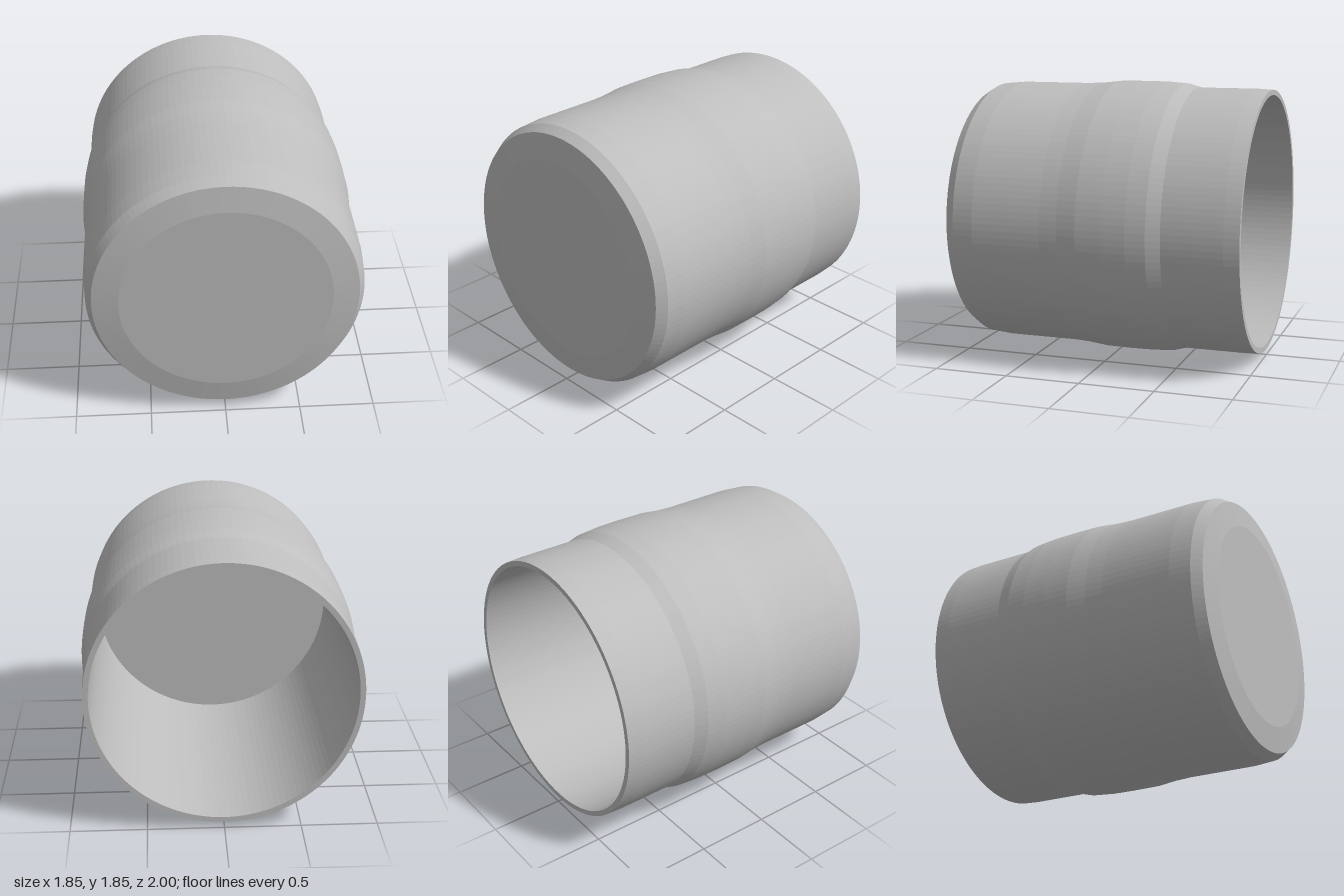
import * as THREE from 'three';

const SEGMENTS = 128;
const AXIS_HEIGHT = 0.925;

// Turns [radius, z] points about the z axis, with crisp bands along the length
function turned(name, profile, material) {
  const points = profile.map(([r, z]) => new THREE.Vector2(r, z));
  const geometry = new THREE.LatheGeometry(points, SEGMENTS).rotateX(Math.PI / 2).toNonIndexed();
  geometry.computeVertexNormals();
  const mesh = new THREE.Mesh(geometry, material);
  mesh.name = name;
  return mesh;
}

export function createModel() {
  const grey = new THREE.MeshStandardMaterial({ color: 0xbebebe });
  grey.name = 'plain grey';

  const model = new THREE.Group();
  model.name = 'cup';

  // Outer wall: narrow neck, raised middle band, main barrel
  const outerWall = turned('outerWall', [
    [0.883, -1], [0.888, -0.9], [0.888, -0.5], [0.913, -0.41], [0.923, -0.28],
    [0.925, -0.12], [0.923, 0.05], [0.908, 0.18], [0.902, 0.3], [0.902, 0.77], [0.89, 0.91],
  ], grey);

  // Closed end: bevelled edge, shallow cone and flat disc
  const closedEnd = turned('closedEnd', [
    [0.89, 0.91], [0.85, 0.975], [0.68, 1], [0, 1],
  ], grey);

  // Hollow inside with a flat floor
  const cavity = turned('cavity', [[0, 0.7], [0.848, 0.7], [0.848, -1]], grey);

  // Flat ring around the opening
  const rim = turned('rim', [[0.848, -1], [0.883, -1]], grey);

  model.add(outerWall, closedEnd, cavity, rim);
  for (const part of model.children) part.position.y = AXIS_HEIGHT;
  return model;
}
